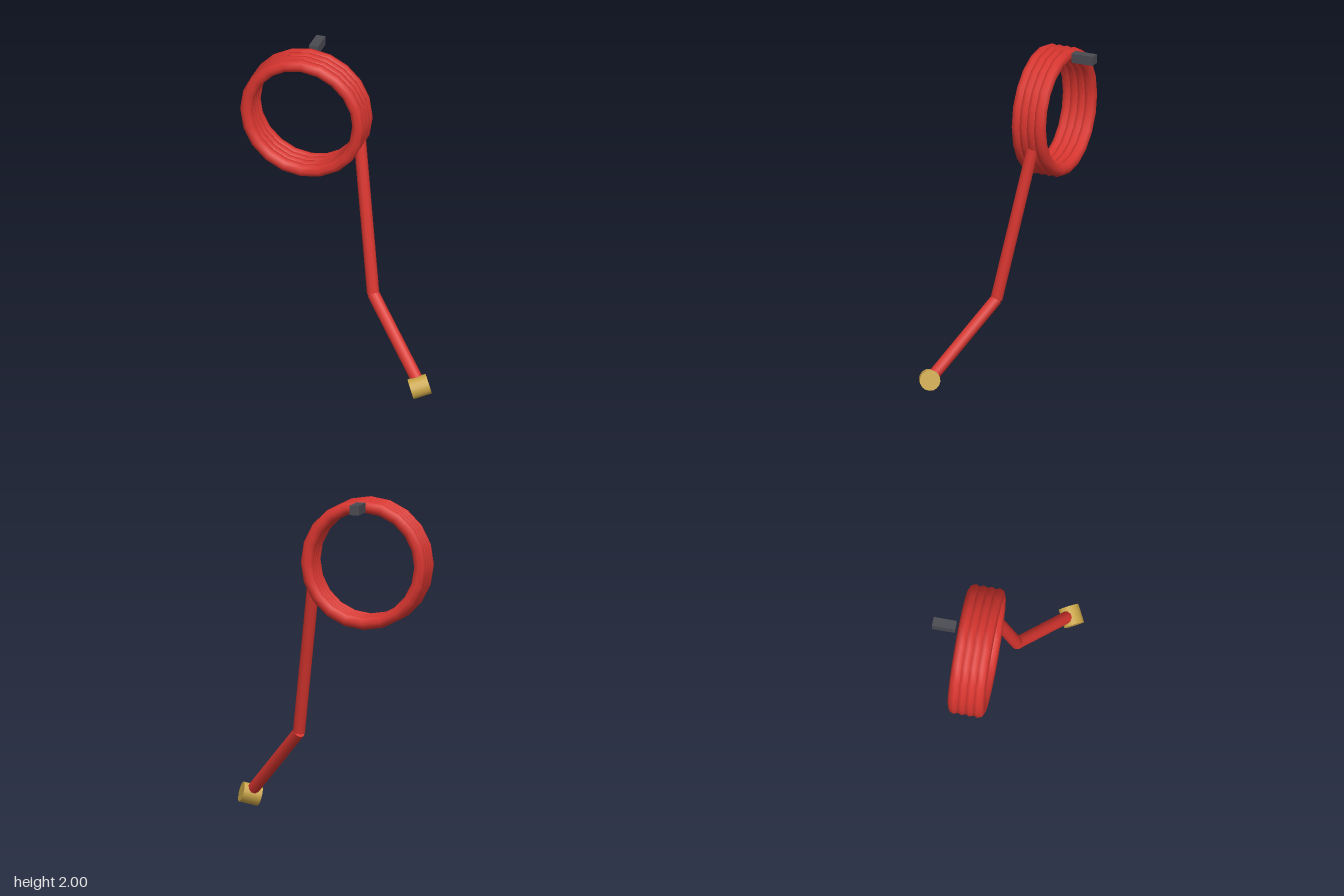
import * as THREE from 'three';

export function createModel() {
  const model = new THREE.Group();
  model.name = 'coiledHose';

  const red = new THREE.MeshStandardMaterial({ name: 'red', color: 0xd8352f });
  const brass = new THREE.MeshStandardMaterial({ name: 'brass', color: 0xc9a548 });
  const darkGrey = new THREE.MeshStandardMaterial({ name: 'darkGrey', color: 0x4a4a52 });

  const add = (name, geometry, material) => {
    const mesh = new THREE.Mesh(geometry, material);
    mesh.name = name;
    model.add(mesh);
    return mesh;
  };

  // Round bar running from one point to another
  const bar = (name, from, to, radius, sides, material) => {
    const a = new THREE.Vector3(...from);
    const b = new THREE.Vector3(...to);
    const dir = b.clone().sub(a);
    const mesh = add(name, new THREE.CylinderGeometry(radius, radius, dir.length(), sides), material);
    mesh.position.copy(a).add(b).multiplyScalar(0.5);
    mesh.quaternion.setFromUnitVectors(new THREE.Vector3(0, 1, 0), dir.normalize());
  };

  // Four stacked loops of hose
  for (let i = 0; i < 4; i++) {
    const loop = add(`hoseLoop${i + 1}`, new THREE.TorusGeometry(0.36, 0.04, 8, 20), red);
    loop.position.set(-0.278, 1.6, -0.045 - i * 0.049);
  }

  // Loose end of the hose, bent once
  const bend = [0.205, 0.515, 0.04];
  bar('upperHose', [0.06, 1.46, -0.134], bend, 0.038, 10, red);
  bar('lowerHose', bend, [0.59, 0.09, 0.295], 0.038, 10, red);

  // Brass fitting set across the hose end
  const centre = [0.594, 0.078, 0.304];
  const axis = [0.85, 0.26, -0.46];
  const along = (s) => centre.map((c, i) => c + axis[i] * s);
  bar('fitting', along(-0.058), along(0.058), 0.063, 16, brass);

  // Wall hook behind the top of the loops
  const hook = add('hook', new THREE.BoxGeometry(0.058, 0.058, 0.143), darkGrey);
  hook.position.set(-0.278, 1.963, -0.318);

  return model;
}
